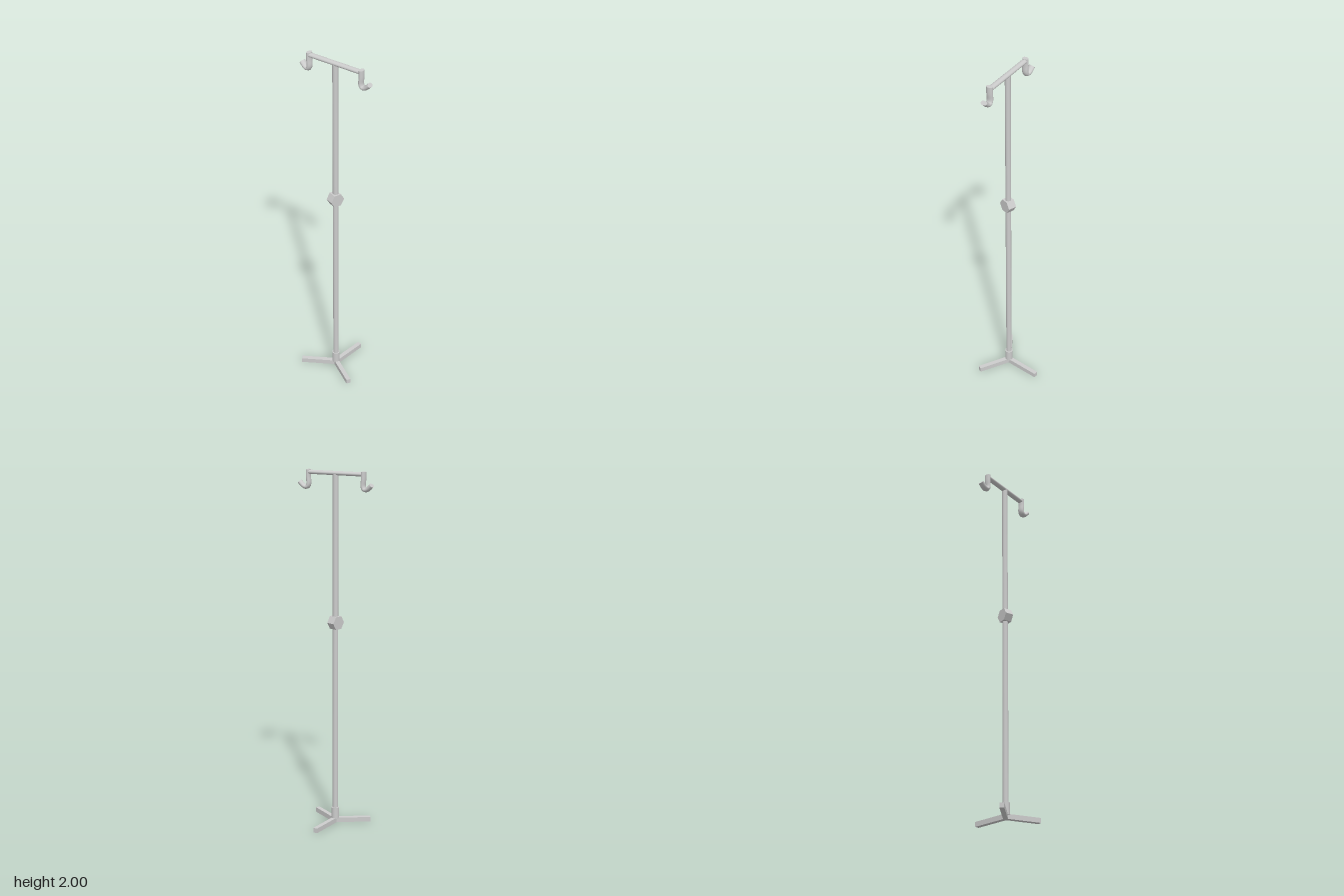
import * as THREE from 'three';

const material = new THREE.MeshStandardMaterial({ color: 0xcccccc });
const AXIS = -0.048; // x of the pole

function add(parent, name, geometry, x = 0, y = 0, z = 0) {
  const mesh = new THREE.Mesh(geometry, material);
  mesh.name = name;
  mesh.position.set(x, y, z);
  parent.add(mesh);
  return mesh;
}

// Oval rod bent along a curve in the yz plane, with closed ends
function bentRod(points, rx, rz, segments) {
  const curve = new THREE.CatmullRomCurve3(points.map(([z, y]) => new THREE.Vector3(0, y, z)));
  const g = new THREE.CylinderGeometry(1, 1, 1, 24, segments);
  const p = g.attributes.position;
  for (let i = 0; i < p.count; i++) {
    const t = THREE.MathUtils.clamp(0.5 - p.getY(i), 0, 1);
    const c = curve.getPointAt(t), d = curve.getTangentAt(t);
    const side = p.getZ(i) * rz;
    p.setXYZ(i, p.getX(i) * rx, c.y + d.z * side, c.z - d.y * side);
  }
  g.computeVertexNormals();
  return g;
}

export function createModel() {
  const model = new THREE.Group();
  model.name = 'hookStand';

  // Three flat legs meeting under the pole
  const ends = [[0.157, 0.025], [-0.149, -0.173], [-0.149, 0.164]];
  for (const [x, z] of ends) {
    const dx = x - AXIS, length = Math.hypot(dx, z);
    const leg = new THREE.BoxGeometry(length, 0.027, 0.025).translate(length / 2, 0, 0);
    add(model, 'leg', leg, AXIS, 0.0135, 0).rotation.y = -Math.atan2(z, dx);
  }

  // Upright pole and its socket
  add(model, 'socket', new THREE.CylinderGeometry(0.022, 0.022, 0.067, 24), AXIS, 0.0555);
  add(model, 'pole', new THREE.CylinderGeometry(0.0155, 0.0155, 1.975, 24), AXIS, 0.995);

  // Six-sided clamp knob, turned a little on the pole
  const knob = new THREE.CylinderGeometry(0.041, 0.041, 0.048, 6).toNonIndexed();
  knob.computeVertexNormals();
  knob.rotateY(Math.PI / 2).rotateX(Math.PI / 2).rotateY(-0.34);
  add(model, 'clampKnob', knob, -0.05, 1.167, 0);

  // Oval crossbar
  const bar = new THREE.CylinderGeometry(1, 1, 0.33, 24).scale(0.016, 1, 0.0115).rotateX(Math.PI / 2);
  add(model, 'crossbar', bar, AXIS, 1.986, 0);

  // Hanging hooks at both ends, curling outward
  const path = [[0, 2], [0, 1.96], [-0.002, 1.922], [0.006, 1.906], [0.024, 1.907], [0.052, 1.931]];
  const hook = bentRod(path, 0.0185, 0.0125, 16);
  add(model, 'frontHook', hook, AXIS - 0.001, 0, 0.164);
  add(model, 'backHook', hook, AXIS + 0.001, 0, -0.166).rotation.y = Math.PI - 0.14;

  return model;
}
